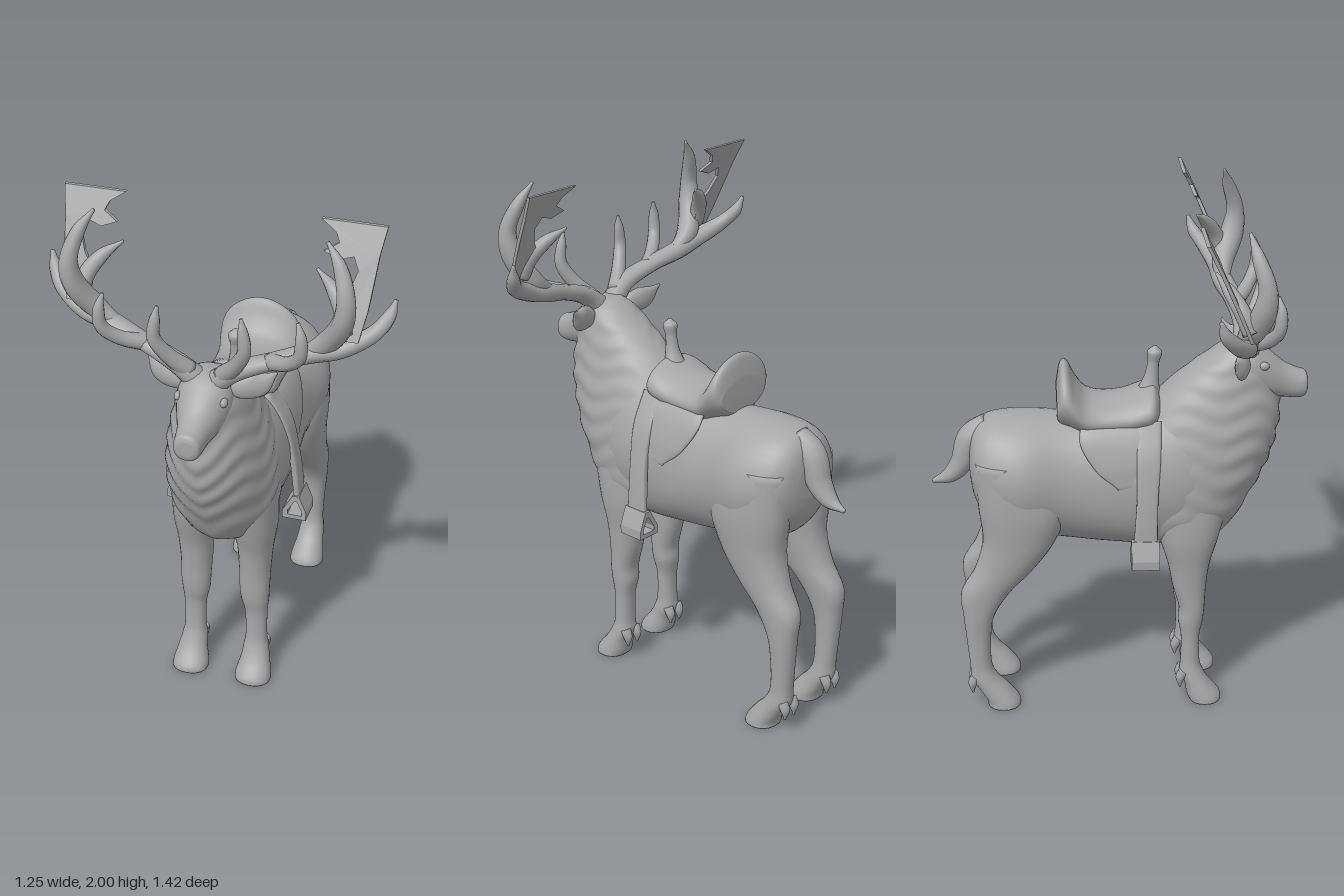
import * as THREE from 'three';

const hide = new THREE.MeshStandardMaterial({ color: 0xa6a6a6 });
hide.name = 'stone grey';

// Closed smooth skin over a list of rings, capped at both ends and turned outward
function skin(rings) {
  const n = rings[0].length, m = rings.length, pos = [], idx = [];
  rings.forEach(r => r.forEach(p => pos.push(p.x, p.y, p.z)));
  for (let i = 0; i < m - 1; i++) for (let j = 0; j < n; j++) {
    const a = i * n + j, b = i * n + (j + 1) % n;
    idx.push(a, b, a + n, b, b + n, a + n);
  }
  [0, m - 1].forEach((k, e) => {
    const c = new THREE.Vector3();
    rings[k].forEach(p => c.addScaledVector(p, 1 / n));
    pos.push(c.x, c.y, c.z);
    for (let j = 0; j < n; j++) {
      const a = k * n + j, b = k * n + (j + 1) % n;
      if (e) idx.push(a, b, m * n + e); else idx.push(b, a, m * n + e);
    }
  });
  let vol = 0;
  const v = i => new THREE.Vector3().fromArray(pos, i * 3);
  for (let i = 0; i < idx.length; i += 3) vol += v(idx[i]).dot(v(idx[i + 1]).cross(v(idx[i + 2])));
  if (vol < 0) idx.reverse();
  const g = new THREE.BufferGeometry();
  g.setAttribute('position', new THREE.Float32BufferAttribute(pos, 3));
  g.setIndex(idx);
  g.computeVertexNormals();
  return g;
}

// Catmull-Rom blend of number rows
function blend(rows, t) {
  const f = t * (rows.length - 1), i = Math.min(Math.floor(f), rows.length - 2), u = f - i;
  const at = k => rows[Math.max(0, Math.min(rows.length - 1, k))];
  return rows[0].map((_, c) => {
    const p0 = at(i - 1)[c], p1 = at(i)[c], p2 = at(i + 1)[c], p3 = at(i + 2)[c];
    return p1 + 0.5 * u * (p2 - p0 + u * (2 * p0 - 5 * p1 + 4 * p2 - p3 + u * (3 * (p1 - p2) + p3 - p0)));
  });
}

const se = (v, e) => Math.sign(v) * Math.pow(Math.abs(v), e);

// Loft along y or z; rows are [station, low, high, xMin, xMax]
function loft(rows, axis, { side = 1, n = 28, steps = 5, e = 1, bump } = {}) {
  const rings = [], m = (rows.length - 1) * steps;
  for (let i = 0; i <= m; i++) {
    const [s, a0, a1, x0, x1] = blend(rows, i / m), ring = [];
    for (let j = 0; j < n; j++) {
      const th = j / n * Math.PI * 2, c = se(Math.cos(th), e), d = se(Math.sin(th), e);
      const point = k => {
        const x = side * ((x0 + x1) / 2 + (x1 - x0) / 2 * c * k), a = (a0 + a1) / 2 + (a1 - a0) / 2 * d * k;
        return axis === 'y' ? new THREE.Vector3(x, s, a) : new THREE.Vector3(x, a, s);
      };
      const p = point(1);
      ring.push(bump ? point(1 + bump(p)) : p);
    }
    rings.push(ring);
  }
  return skin(rings);
}

// Sweep an oval along a path; radii are [along up, across]
function sweep(path, radii, { side = 1, up = [0, 0, 1], n = 12, steps = 6, e = 1 } = {}) {
  const curve = new THREE.CatmullRomCurve3(path.map(p => new THREE.Vector3(p[0] * side, p[1], p[2])));
  const m = (path.length - 1) * steps, u = new THREE.Vector3(...up), rings = [];
  for (let i = 0; i <= m; i++) {
    const c = curve.getPoint(i / m), t = curve.getTangent(i / m);
    const b = t.clone().cross(u).normalize(), a = b.clone().cross(t);
    const [ra, rb] = blend(radii.map(r => Array.isArray(r) ? r : [r, r]), i / m);
    rings.push(Array.from({ length: n }, (_, j) => {
      const th = j / n * Math.PI * 2;
      return c.clone().addScaledVector(a, ra * se(Math.cos(th), e)).addScaledVector(b, rb * se(Math.sin(th), e));
    }));
  }
  return skin(rings);
}

export function createModel() {
  const model = new THREE.Group();
  model.name = 'saddledStag';
  const add = (name, geo, parent = model) => {
    const mesh = new THREE.Mesh(geo, hide);
    mesh.name = name;
    parent.add(mesh);
    return mesh;
  };
  const ball = (name, p, s) => {
    const mesh = add(name, new THREE.SphereGeometry(1, 20, 14));
    mesh.position.set(...p);
    mesh.scale.set(...s);
  };

  // Barrel and rump
  add('torso', loft([
    [-0.56, 0.93, 1.07, -0.07, 0.07], [-0.54, 0.84, 1.14, -0.14, 0.14], [-0.48, 0.76, 1.18, -0.195, 0.195],
    [-0.36, 0.71, 1.19, -0.228, 0.228], [-0.2, 0.68, 1.185, -0.2, 0.2], [0, 0.65, 1.19, -0.208, 0.208],
    [0.15, 0.64, 1.23, -0.212, 0.212], [0.28, 0.65, 1.25, -0.2, 0.2], [0.4, 0.7, 1.2, -0.16, 0.16]], 'z',
  { n: 40, bump: p => 0.012 * Math.sin(p.y * 26 + p.z * 14) * Math.exp(-Math.pow((p.z - 0.03) / 0.15, 2)) }));
  ball('bellyTuft', [0, 0.69, -0.19], [0.035, 0.025, 0.07]);

  // Shaggy neck and chest with V-shaped fur ridges
  add('mane', loft([
    [0.65, 0.14, 0.34, -0.07, 0.07], [0.7, 0.06, 0.41, -0.15, 0.15], [0.78, 0, 0.465, -0.19, 0.19],
    [0.87, 0, 0.515, -0.203, 0.203], [1.0, 0, 0.575, -0.2, 0.2], [1.12, 0.04, 0.605, -0.182, 0.182],
    [1.22, 0.11, 0.61, -0.157, 0.157], [1.31, 0.2, 0.59, -0.132, 0.132], [1.38, 0.29, 0.56, -0.11, 0.11],
    [1.43, 0.36, 0.53, -0.085, 0.085], [1.46, 0.41, 0.5, -0.045, 0.045]], 'y',
  { n: 64, steps: 9, bump: p => 0.017 * Math.sin(62 * (p.y - 0.75 * Math.abs(p.x)) + 2 * Math.sin(p.z * 21))
      * Math.min(1, Math.max(0, (p.z - 0.12) * 5)) }));

  // Head
  add('head', loft([
    [0.37, 1.3, 1.43, -0.06, 0.06], [0.42, 1.27, 1.46, -0.095, 0.095], [0.5, 1.25, 1.46, -0.1, 0.1],
    [0.56, 1.24, 1.42, -0.082, 0.082], [0.62, 1.235, 1.37, -0.06, 0.06], [0.67, 1.23, 1.345, -0.052, 0.052],
    [0.7, 1.237, 1.335, -0.046, 0.046], [0.71, 1.26, 1.315, -0.03, 0.03]], 'z', { n: 32, e: 0.9 }));
  ball('nose', [0, 1.298, 0.69], [0.038, 0.025, 0.02]);

  // Tail
  add('tail', sweep([[0, 1.13, -0.48], [0, 1.09, -0.55], [0, 0.99, -0.59], [0, 0.935, -0.64], [0, 0.912, -0.705]],
    [[0.05, 0.06], [0.055, 0.055], [0.05, 0.045], [0.035, 0.03], [0.008, 0.008]], { up: [1, 0, 0] }));

  // Saddle
  add('saddleSeat', loft([
    [0.155, 1.16, 1.26, -0.08, 0.08], [0.13, 1.13, 1.3, -0.14, 0.14], [0.08, 1.12, 1.285, -0.15, 0.15],
    [0.02, 1.11, 1.265, -0.142, 0.142], [-0.06, 1.11, 1.258, -0.142, 0.142], [-0.12, 1.11, 1.275, -0.147, 0.147],
    [-0.16, 1.13, 1.325, -0.155, 0.155], [-0.19, 1.14, 1.385, -0.155, 0.155], [-0.215, 1.15, 1.38, -0.145, 0.145],
    [-0.23, 1.17, 1.3, -0.12, 0.12]], 'z', { n: 36, e: 1.1 }));
  add('saddleHorn', sweep([[0, 1.24, 0.11], [0, 1.32, 0.125], [0, 1.38, 0.132], [0, 1.42, 0.137], [0, 1.44, 0.138]],
    [0.05, 0.028, 0.022, 0.028, 0.01]));

  for (const side of [1, -1]) {
    const half = new THREE.Group();
    half.name = side > 0 ? 'leftSide' : 'rightSide';
    model.add(half);

    // Legs with hooves and dewclaws
    add('frontLeg', loft([
      [0, 0.275, 0.4, 0.058, 0.2], [0.025, 0.265, 0.395, 0.06, 0.197], [0.075, 0.255, 0.355, 0.072, 0.185],
      [0.12, 0.237, 0.33, 0.077, 0.175], [0.17, 0.24, 0.315, 0.083, 0.167], [0.28, 0.24, 0.312, 0.08, 0.167],
      [0.35, 0.228, 0.325, 0.065, 0.173], [0.41, 0.23, 0.33, 0.06, 0.176], [0.5, 0.205, 0.335, 0.056, 0.178],
      [0.6, 0.185, 0.347, 0.05, 0.186], [0.72, 0.15, 0.38, 0.03, 0.2], [0.9, 0.12, 0.42, 0.02, 0.195]], 'y', { side, e: 0.9 }), half);
    add('hindLeg', loft([
      [0, -0.52, -0.39, 0.06, 0.2], [0.025, -0.525, -0.397, 0.062, 0.197], [0.075, -0.555, -0.435, 0.074, 0.187],
      [0.12, -0.582, -0.475, 0.08, 0.18], [0.18, -0.585, -0.5, 0.088, 0.173], [0.3, -0.595, -0.5, 0.09, 0.178],
      [0.4, -0.603, -0.483, 0.085, 0.186], [0.5, -0.608, -0.42, 0.07, 0.192], [0.6, -0.552, -0.325, 0.05, 0.2],
      [0.72, -0.52, -0.24, 0.025, 0.212], [0.86, -0.532, -0.2, 0.012, 0.222], [1.04, -0.54, -0.26, 0.02, 0.205]], 'y', { side, e: 0.9 }), half);
    for (const z of [0.25, -0.565]) for (const x of [0.1, 0.152])
      add('dewclaw', sweep([[x, 0.13, z], [x, 0.1, z - 0.012], [x, 0.06, z - 0.012]], [0.02, 0.018, 0.004], { side }), half);

    // Ear and eye
    add('ear', sweep([[0.075, 1.395, 0.46], [0.12, 1.405, 0.455], [0.18, 1.42, 0.435], [0.235, 1.46, 0.41]],
      [[0.02, 0.02], [0.025, 0.043], [0.022, 0.046], [0.004, 0.005]], { side }), half);
    ball('eye', [side * 0.083, 1.385, 0.535], [0.014, 0.016, 0.02]);

    // Antler: beam, upright fork and tines
    const antler = new THREE.Group();
    antler.name = 'antler';
    half.add(antler);
    const tine = (name, path, radii) => add(name, sweep(path, radii, { side }), antler);
    tine('beam', [[0.02, 1.41, 0.47], [0.1, 1.48, 0.48], [0.24, 1.535, 0.455], [0.36, 1.57, 0.425], [0.46, 1.6, 0.415],
      [0.56, 1.65, 0.37], [0.6, 1.7, 0.33], [0.617, 1.755, 0.31]],
    [0.045, [0.042, 0.036], [0.038, 0.03], [0.04, 0.035], [0.04, 0.034], 0.029, 0.023, 0.007]);
    tine('upright', [[0.34, 1.57, 0.425], [0.42, 1.63, 0.43], [0.475, 1.73, 0.47], [0.485, 1.82, 0.48], [0.455, 1.92, 0.45], [0.405, 1.995, 0.425]],
      [0.025, [0.042, 0.04], [0.045, 0.038], [0.033, 0.032], 0.024, 0.006]);
    tine('browTine', [[0.06, 1.46, 0.48], [0.12, 1.53, 0.52], [0.16, 1.61, 0.55], [0.155, 1.68, 0.55], [0.147, 1.73, 0.545]],
      [0.034, 0.028, 0.024, 0.019, 0.006]);
    tine('secondTine', [[0.22, 1.53, 0.46], [0.3, 1.565, 0.51], [0.35, 1.62, 0.545], [0.355, 1.69, 0.55], [0.342, 1.745, 0.54]],
      [0.03, 0.026, 0.024, 0.02, 0.006]);
    tine('innerTine', [[0.47, 1.66, 0.43], [0.455, 1.73, 0.4], [0.41, 1.79, 0.36], [0.345, 1.835, 0.32]],
      [0.03, 0.03, 0.024, 0.005]);
    // Thin ragged palm leaning back towards its top
    const outline = [[0.57, 2], [0.345, 2], [0.4, 1.965], [0.415, 1.935], [0.365, 1.905], [0.42, 1.885], [0.47, 1.9],
      [0.49, 1.86], [0.47, 1.8], [0.43, 1.74], [0.44, 1.64], [0.52, 1.64], [0.54, 1.74], [0.548, 1.82], [0.555, 1.91]];
    const palm = new THREE.ExtrudeGeometry(new THREE.Shape(outline.map(p => new THREE.Vector2(p[0] * side, p[1]))),
      { depth: 0.014, bevelEnabled: false });
    const at = palm.attributes.position;
    for (let i = 0; i < at.count; i++) {
      const d = 2 - at.getY(i);
      at.setZ(i, at.getZ(i) + 0.262 + 0.5 * d - 0.15 * d * d);
    }
    palm.computeVertexNormals();
    add('palm', palm, antler);

    // Stirrup strap, saddle flap and stirrup
    add('saddleFlap', sweep([[0.09, 1.2, -0.02], [0.148, 1.14, -0.01], [0.187, 1.04, 0.01], [0.203, 0.96, 0.03]],
      [[0.12, 0.015], [0.14, 0.014], [0.1, 0.012], [0.04, 0.006]], { side, e: 0.7, n: 24 }), half);
    add('strap', sweep([[0.12, 1.19, 0.11], [0.185, 1.07, 0.105], [0.217, 0.93, 0.1], [0.23, 0.82, 0.095], [0.238, 0.73, 0.092]],
      [[0.045, 0.012], [0.045, 0.014], [0.04, 0.014], [0.042, 0.014], [0.045, 0.012]], { side, e: 0.5, n: 20 }), half);
    const ring = pts => pts.map(p => new THREE.Vector2(p[0] * side, p[1]));
    const frame = new THREE.Shape(ring([[0.185, 0.65], [0.278, 0.65], [0.278, 0.685], [0.25, 0.755], [0.225, 0.755], [0.185, 0.685]]));
    frame.holes.push(new THREE.Path(ring([[0.205, 0.668], [0.262, 0.668], [0.262, 0.685], [0.242, 0.73], [0.232, 0.73], [0.205, 0.685]])));
    add('stirrup', new THREE.ExtrudeGeometry(frame, { depth: 0.105, bevelEnabled: false }).translate(0, 0, 0.038), half);
  }
  return model;
}
